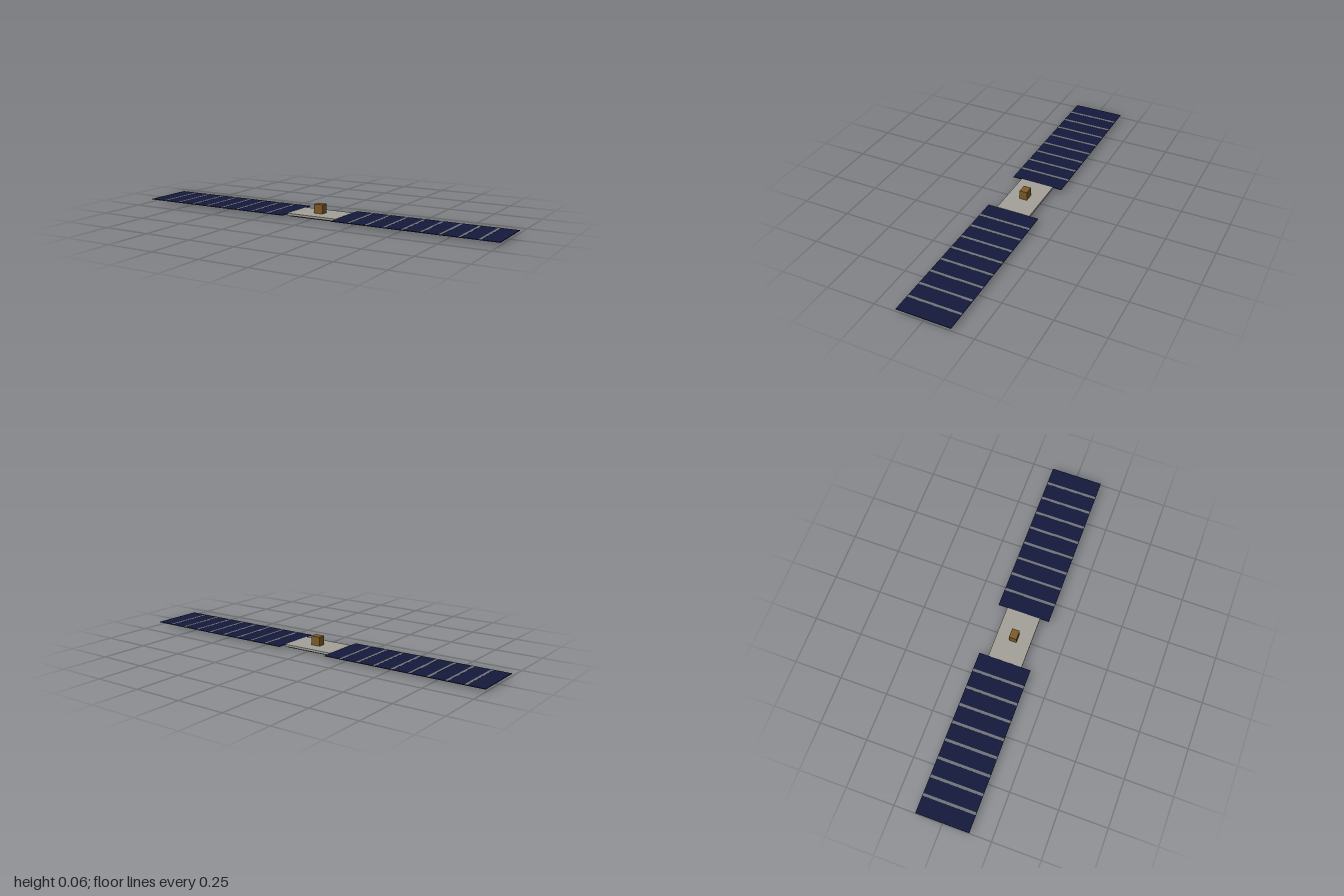
import * as THREE from 'three';

const paint = (color) => new THREE.MeshStandardMaterial({ color });
const BODY = paint(0xa3a199), CELL = paint(0x151a3c), RIB = paint(0x70747a);
const GOLD = paint(0x7d5c26), DARK = paint(0x1a1a1a), HINGE = paint(0x55555a);

// Box given by its centre x, z, bottom and top heights, and width and depth
function slab(name, material, x, z, y0, y1, w, d) {
  const mesh = new THREE.Mesh(new THREE.BoxGeometry(w, y1 - y0, d), material);
  mesh.name = name;
  mesh.position.set(x, (y0 + y1) / 2, z);
  return mesh;
}

// One solar wing: thin panel, evenly spaced ribs and the hinge at its root
function createWing(side) {
  const wing = new THREE.Group();
  wing.name = side > 0 ? 'leftSolarWing' : 'rightSolarWing';
  const inner = 0.14, length = 0.86, cells = 9;
  wing.add(slab('solarPanel', CELL, side * (inner + length / 2), 0, 0.0125, 0.0155, length, 0.276));
  for (let i = 1; i < cells; i++) {
    const x = side * (inner + (length * i) / cells);
    wing.add(slab('panelRib', RIB, x, 0, 0.0145, 0.0162, 0.014, 0.274));
  }
  wing.add(slab('hinge', HINGE, side * 0.14, 0, 0.004, 0.0145, 0.014, 0.013));
  return wing;
}

export function createModel() {
  const model = new THREE.Group();
  model.name = 'satellite';

  // Flat body with a dark plate underneath
  model.add(slab('body', BODY, 0, 0, 0.005, 0.0165, 0.28, 0.18));
  model.add(slab('bottomPlate', DARK, 0, 0, 0.002, 0.0055, 0.26, 0.162));
  model.add(slab('bottomFacing', DARK, 0, 0, 0, 0.0025, 0.26, 0.162));

  // Equipment box on top
  model.add(slab('equipmentBox', GOLD, 0, 0, 0.016, 0.064, 0.05, 0.04));

  // Mirrored solar wings
  for (const side of [-1, 1]) model.add(createWing(side));
  return model;
}
